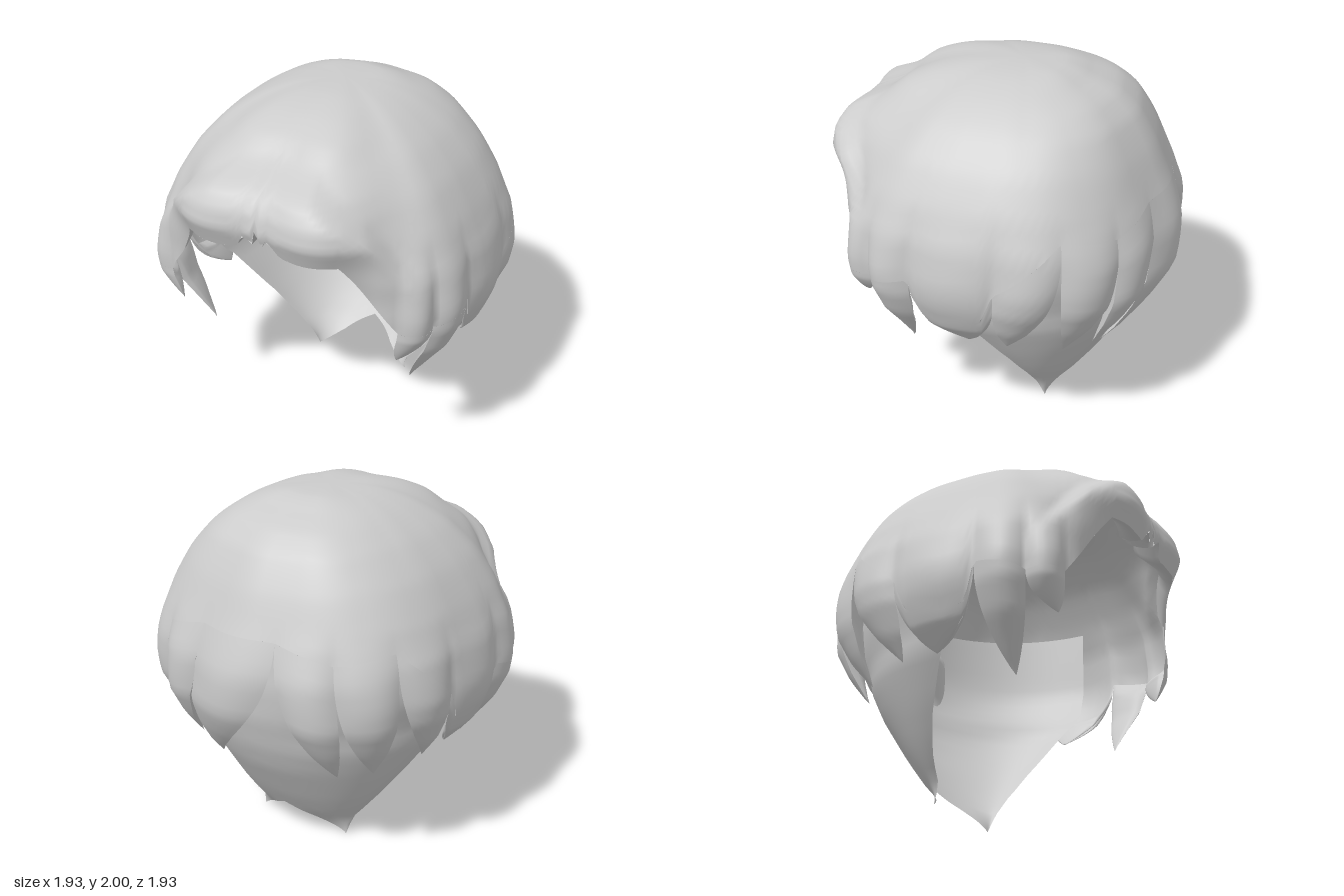
import * as THREE from 'three';
import { mergeVertices } from 'three/addons/utils/BufferGeometryUtils.js';

const material = new THREE.MeshStandardMaterial({ color: 0xcccccc, side: THREE.DoubleSide });
const { lerp, smoothstep, degToRad, radToDeg } = THREE.MathUtils;

// Linear lookup in a table of [key, value] with rising keys
function lookup(table, k) {
  if (k <= table[0][0]) return table[0][1];
  for (let i = 1; i < table.length; i++) {
    const [k1, v1] = table[i], [k0, v0] = table[i - 1];
    if (k <= k1) return lerp(v0, v1, (k - k0) / (k1 - k0));
  }
  return table[table.length - 1][1];
}

// Smooth sheet from a rule fn(u, v) -> [x, y, z]
function sheet(name, nu, nv, fn) {
  const pos = [], index = [];
  for (let j = 0; j <= nv; j++)
    for (let i = 0; i <= nu; i++) pos.push(...fn(i / nu, j / nv));
  for (let j = 0; j < nv; j++)
    for (let i = 0; i < nu; i++) {
      const a = j * (nu + 1) + i, b = a + 1, c = a + nu + 1, d = c + 1;
      index.push(a, c, b, b, c, d);
    }
  let geo = new THREE.BufferGeometry();
  geo.setAttribute('position', new THREE.Float32BufferAttribute(pos, 3));
  geo.setIndex(index);
  geo = mergeVertices(geo, 1e-4);
  geo.computeVertexNormals();
  const mesh = new THREE.Mesh(geo, material);
  mesh.name = name;
  return mesh;
}

// Half outline seen from above, front to back, as angle -> radius
const outline = [[0, 0.93], [0.15, 0.945], [0.3, 0.985], [0.48, 0.9], [0.6, 0.79], [0.73, 0.66],
  [0.86, 0.52], [0.9, 0.3], [0.912, 0], [0.9, -0.3], [0.81, -0.55], [0.58, -0.77],
  [0.24, -0.88], [0, -0.935]].map(([x, z]) => [radToDeg(Math.atan2(x, z)), Math.hypot(x, z)]);
const fold = (a) => { const m = Math.abs(a) % 360; return m > 180 ? 360 - m : m; };
const radius = (m) => [-6, -3, 0, 3, 6].reduce((sum, d) => sum + lookup(outline, fold(m + d)), 0) / 5;

// Profiles [scale, height]; looked up by sqrt(2 - y) so the crown stays round
const profile = (pts) => pts.map(([s, y]) => [Math.sqrt(2 - y), s]);
const sideProfile = profile([[0, 2], [0.14, 1.995], [0.26, 1.98], [0.44, 1.92], [0.64, 1.8], [0.8, 1.64],
  [0.92, 1.45], [0.985, 1.27], [1, 1.05], [0.985, 0.93], [0.92, 0.77], [0.84, 0.65], [0.75, 0.5]]);
const backProfile = profile([[0, 2], [0.24, 1.995], [0.43, 1.94], [0.59, 1.88], [0.72, 1.78], [0.84, 1.6],
  [0.95, 1.36], [1, 1.18], [1, 0.92], [0.92, 0.75], [0.82, 0.6], [0.73, 0.5]]);
const frontProfile = profile([[0, 2], [0.2, 1.995], [0.44, 1.95], [0.6, 1.88], [0.7, 1.8], [0.78, 1.74],
  [0.84, 1.69], [0.9, 1.6], [0.92, 1.5], [0.87, 1.38], [0.8, 1.15], [0.78, 0.9], [0.75, 0.5]]);

// Height of the ridge where the fringe rises from the cap, by angle
const ridge = [[0, 1.8], [18, 1.79], [35, 1.62], [45, 1.45], [55, 1.25]];

// Height of the cap's lower edge by angle from the front
const hem = [[0, 1.52], [2, 1.42], [4, 1.49], [8, 1.39], [15, 1.38], [27, 1.39], [33, 1.26], [38, 1.14], [45, 0.98],
  [57, 0.97], [73, 1.04], [76, 0.84], [84, 0.81], [98, 0.86], [102.5, 1.05], [124, 1.35], [144, 1.3], [164, 1.38], [180, 1.38]];

// Locks: start angle, end angle, tip angle, tip height, inner thickness
const sideLocks = [
  [45, 57, 46, 0.77, 0.05], [57, 73, 58, 0.49, 0.06], [73, 102.5, 90, 0.64, 0.04],
  [102.5, 124, 106, 0.64, 0.07], [124, 144, 128, 0.6, 0.15], [144, 164, 142, 0.58, 0.2],
];
const centreLock = [164, 196, 152, 0.5, 0.22];

// Point on the hair surface; puff swells or sinks it
function surface(a, y, puff = 0, shift = 0) {
  const m = fold(a), r = radius(m), q = Math.sqrt(Math.max(0, 2 - y));
  let s = lookup(sideProfile, q);
  s = lerp(s, lookup(frontProfile, q), 1 - smoothstep(m, 25, 55));
  s = lerp(s, lookup(backProfile, q), smoothstep(m, 110, 155));
  s += 0.08 * (1 - smoothstep(m, 38, 58)) * smoothstep(lookup(ridge, m) - y, 0, 0.12);
  s *= 1 + puff;
  s += shift;
  const t = degToRad(a), pole = -0.05;
  return [s * r * Math.sin(t), y, pole + s * (r * Math.cos(t) - pole)];
}

const swell = (y) => 0.05 * (1 - smoothstep(y, 1, 1.5));

// Swelling of the cap above each lock
function capPuff(a, y) {
  const m = Math.abs(a);
  for (const [a0, a1] of [...sideLocks, centreLock])
    if (m >= a0 && m <= a1) {
      const u = (2 * m - a0 - a1) / (a1 - a0);
      return swell(y) * (1 - u * u);
    }
  return 0;
}

const hemAt = (a) => lookup(hem, fold(a));

// A pointed lock with an outer and an inner skin; side = -1 mirrors it
function lock(name, [a0, a1, tip, tipY, depth], side) {
  const group = new THREE.Group();
  group.name = name;
  const skin = (inner) => (p, v) => {
    const u = (2 * p - 1) * side;
    const top = lerp(a0, a1, (u + 1) / 2);
    const a = lerp((a0 + a1) / 2, tip, v ** 2) + u * (a1 - a0) / 2 * (1 - v ** 2.8);
    const y = lerp(hemAt(top), tipY, v);
    const round = 1 - u * u;
    const puff = inner
      ? -depth * Math.sqrt(Math.max(0, round)) * Math.min(1, 7 * v) * (1 - v * v)
      : swell(y) * round * (1 - v * v);
    return surface(a * side, y, puff);
  };
  group.add(sheet('lockOuter', 14, 16, skin(false)), sheet('lockInner', 14, 16, skin(true)));
  return group;
}

// Nape: half width, front edge and back depth by height
const napeWidth = [[0, 0.3], [0.1, 0.32], [0.17, 0.38], [0.31, 0.49], [0.47, 0.6], [0.6, 0.68], [0.7, 0.74], [1, 0.84], [1.4, 0.85]];
const napeFront = [[0, -0.29], [0.1, -0.25], [0.22, -0.23], [0.4, -0.16], [0.7, 0], [0.8, 0.1], [1.4, 0.1]];
const napeBack = [[0, -0.29], [0.15, -0.44], [0.3, -0.55], [0.55, -0.71], [0.7, -0.78], [0.9, -0.84], [1.1, -0.86], [1.4, -0.83]];

export function createModel() {
  const model = new THREE.Group();
  model.name = 'hair';

  // Rounded cap with the rolled fringe at the front
  model.add(sheet('cap', 240, 32, (u, v) => {
    const a = -180 + 360 * u, low = hemAt(a);
    const y = low + (2 - low) * Math.cos(v * Math.PI / 2);
    return surface(a, y, capPuff(a, y));
  }));

  // Underside of the fringe roll
  model.add(sheet('fringeUnderside', 40, 5, (u, v) => {
    const a = -36 + 72 * u;
    const p = surface(a, hemAt(a), 0, -0.17 * v * (1 - Math.abs(a) / 45));
    p[1] += 0.07 * v * v;
    return p;
  }));

  // Locks around the sides and back
  for (const side of [1, -1])
    sideLocks.forEach((l, i) => model.add(lock((side > 0 ? 'leftLock' : 'rightLock') + (i + 1), l, side)));
  model.add(lock('backCentreLock', centreLock, 1));

  // Nape sheet ending in two points
  model.add(sheet('nape', 36, 24, (u, v) => {
    const phi = (0.5 - u) * Math.PI, low = 0.2 - 0.2 * Math.abs(Math.sin(phi));
    const y = lerp(1.4, low, v), f = lookup(napeFront, y);
    return [lookup(napeWidth, y) * Math.sin(phi), y, f + (lookup(napeBack, y) - f) * Math.cos(phi)];
  }));

  return model;
}
